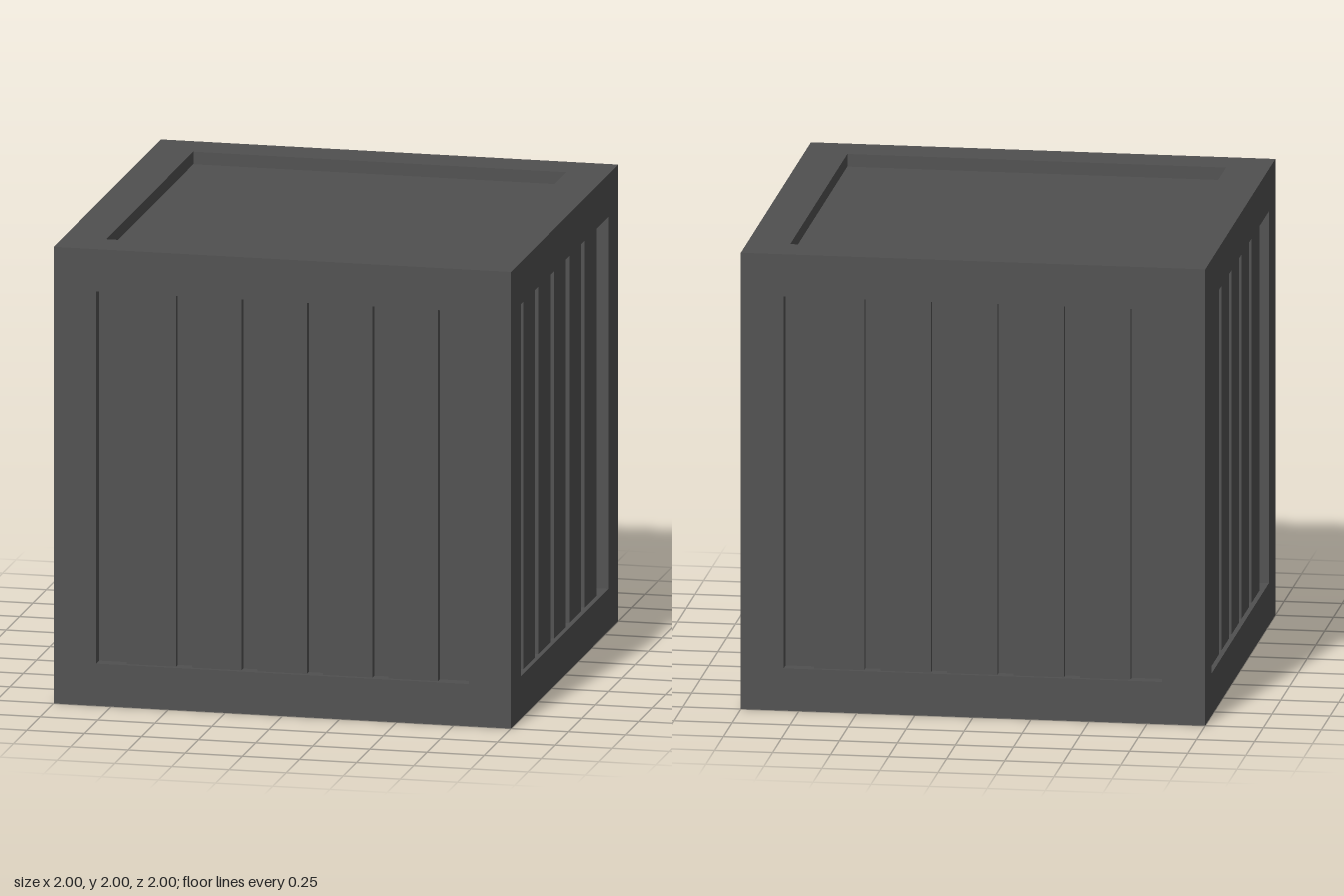
import * as THREE from 'three';
import { mergeGeometries } from 'three/addons/utils/BufferGeometryUtils.js';

const OPENING = 0.815;   // half width of each framed opening
const FLOOR = 0.945;     // distance of the recessed panels from the centre
const SLAT_FACE = 0.98;  // distance of the slat fronts from the centre
const SLATS = 5, SLAT_WIDTH = 0.2165, PITCH = 0.2865, SHIFT = -0.006;

export function createModel() {
  const crate = new THREE.Group();
  crate.name = 'crate';
  const material = new THREE.MeshStandardMaterial({ color: 0x505050, flatShading: true });

  const add = (parent, geometry, name) => {
    const mesh = new THREE.Mesh(geometry, material);
    mesh.name = name;
    parent.add(mesh);
    return mesh;
  };

  // Square border with inward walls, as a four-sided lathe facing +z
  const border = () => {
    const profile = [[1, 1], [OPENING, 1], [OPENING, FLOOR]]
      .map(([r, y]) => new THREE.Vector2(r * Math.SQRT2, y));
    const geometry = new THREE.LatheGeometry(profile, 4, Math.PI / 4).toNonIndexed();
    geometry.computeVertexNormals();
    return geometry.rotateX(Math.PI / 2);
  };

  // Turns from the front to each of the six faces
  const sides = ['front', 'left', 'back', 'right'].map((name, i) =>
    ({ name, turn: new THREE.Euler(0, i * Math.PI / 2, 0) }));
  const caps = [
    { name: 'top', turn: new THREE.Euler(-Math.PI / 2, 0, 0) },
    { name: 'bottom', turn: new THREE.Euler(Math.PI / 2, 0, 0) },
  ];
  const faces = [...sides, ...caps];

  // Frame: all six borders joined into one shell
  const borders = faces.map(({ turn }) =>
    border().applyMatrix4(new THREE.Matrix4().makeRotationFromEuler(turn)));
  add(crate, mergeGeometries(borders), 'frame').position.y = 1;

  // Recessed panels, with upright slats on the four sides
  for (const face of faces) {
    const group = new THREE.Group();
    group.name = face.name + 'Face';
    group.rotation.copy(face.turn);
    group.position.y = 1;
    add(group, new THREE.PlaneGeometry(2 * OPENING, 2 * OPENING), face.name + 'Panel').position.z = FLOOR;

    if (sides.includes(face)) {
      const depth = SLAT_FACE - FLOOR;
      for (let i = 0; i < SLATS; i++) {
        const slat = add(group, new THREE.BoxGeometry(SLAT_WIDTH, 2 * OPENING, depth), face.name + 'Slat');
        slat.position.set((i - (SLATS - 1) / 2) * PITCH + SHIFT, 0, FLOOR + depth / 2);
      }
    }
    crate.add(group);
  }
  return crate;
}
